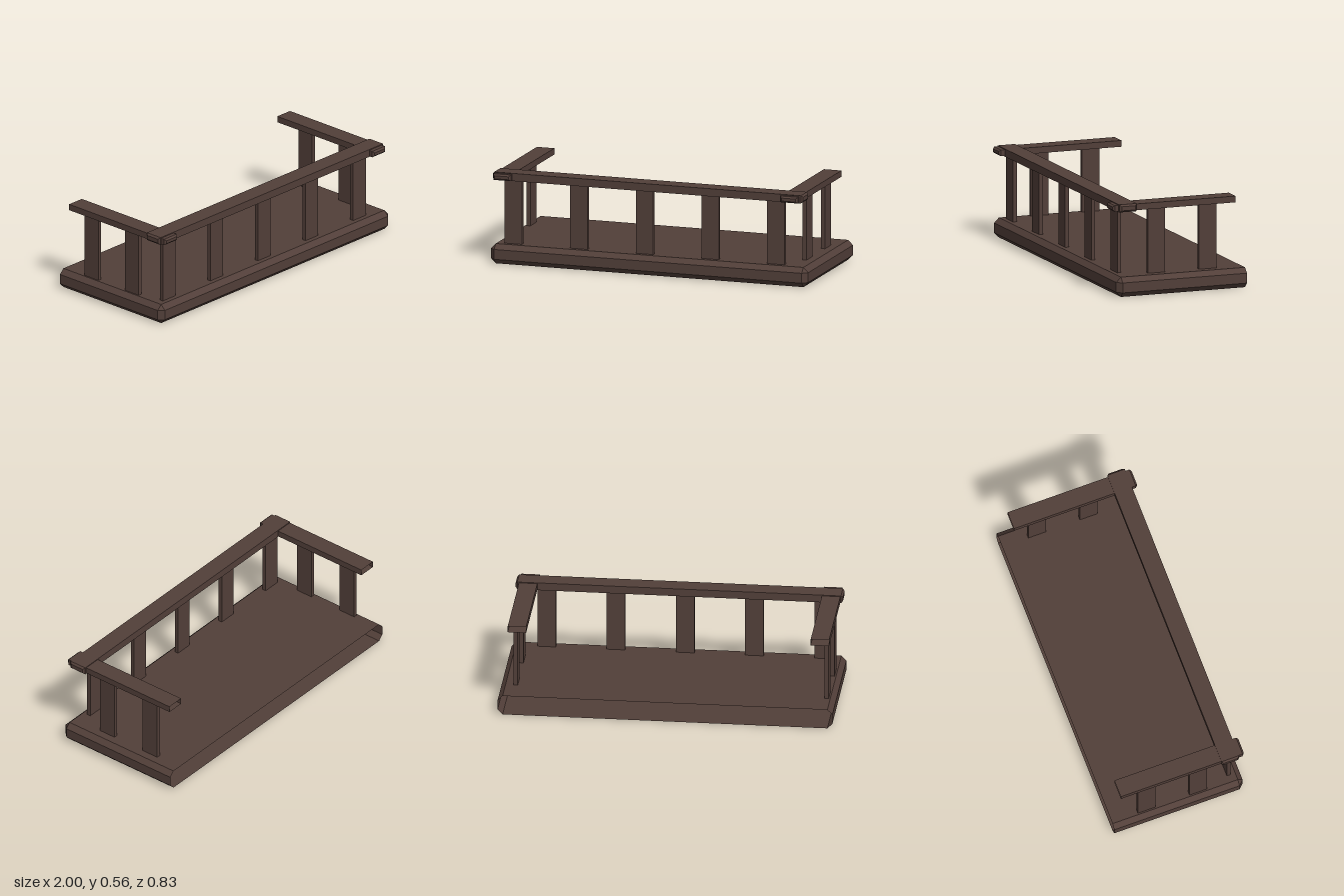
import * as THREE from 'three';

// Skins a list of rings (arrays of [x, y, z] points) with flat quads; optional fan caps.
function loft(rings, closed, capStart, capEnd) {
  const pos = [];
  const tri = (a, b, c) => pos.push(...a, ...b, ...c);
  for (let r = 0; r < rings.length - 1; r++) {
    const a = rings[r], b = rings[r + 1], n = a.length;
    for (let i = 0; i < (closed ? n : n - 1); i++) {
      const j = (i + 1) % n;
      tri(a[i], a[j], b[j]);
      tri(a[i], b[j], b[i]);
    }
  }
  const fan = (ring, flip) => {
    for (let i = 1; i < ring.length - 1; i++) {
      if (flip) tri(ring[0], ring[i + 1], ring[i]);
      else tri(ring[0], ring[i], ring[i + 1]);
    }
  };
  if (capStart) fan(rings[0], true);
  if (capEnd) fan(rings[rings.length - 1], false);
  const geo = new THREE.BufferGeometry();
  geo.setAttribute('position', new THREE.Float32BufferAttribute(pos, 3));
  geo.computeVertexNormals();
  return geo;
}

export function createModel() {
  const model = new THREE.Group();
  model.name = 'balcony';
  const wood = new THREE.MeshStandardMaterial({ color: 0x523f39, side: THREE.DoubleSide });
  wood.name = 'dark brown wood';

  const add = (name, geo) => {
    const mesh = new THREE.Mesh(geo, wood);
    mesh.name = name;
    model.add(mesh);
    return mesh;
  };

  // Floor slab: chamfered on three sides and at the corners, open at the back
  const back = -0.415;
  const outline = (y, x, xFront, zSide, zFront) => [
    [-x, y, back], [-x, y, zSide], [-xFront, y, zFront],
    [xFront, y, zFront], [x, y, zSide], [x, y, back],
  ];
  add('floorSlab', loft([
    outline(0, 0.97, 0.97, 0.38, 0.38),
    outline(0.03, 1, 0.97, 0.38, 0.41),
    outline(0.09, 1, 0.97, 0.38, 0.41),
    outline(0.12, 0.97, 0.97, 0.38, 0.38),
  ], false, true, true));

  // Front handrail with chamfered ends
  const railRing = (x, inset) => {
    const y0 = 0.509 + inset, y1 = 0.556 - inset, z0 = 0.273 + inset, z1 = 0.384 - inset;
    return [[x, y0, z0], [x, y1, z0], [x, y1, z1], [x, y0, z1]];
  };
  add('frontHandrail', loft([
    railRing(-0.99, 0.011), railRing(-0.979, 0), railRing(0.955, 0), railRing(0.966, 0.011),
  ], true, true, true));

  // Side handrails: chamfered front end, open back end
  const sideRing = (cx, z, inset) => {
    const w = 0.055 - inset, y0 = 0.513 + inset, y1 = 0.551 - inset;
    return [[cx - w, y0, z], [cx + w, y0, z], [cx + w, y1, z], [cx - w, y1, z]];
  };
  for (const [side, cx] of [['left', 0.89], ['right', -0.92]]) {
    add(side + 'Handrail', loft([
      sideRing(cx, -0.364, 0), sideRing(cx, 0.408, 0), sideRing(cx, 0.419, 0.01),
    ], true, false, true));
  }

  // Flat balusters under the rails
  const bottom = 0.118, top = 0.516;
  const post = (name, w, d, x, z) => {
    add(name, new THREE.BoxGeometry(w, top - bottom, d)).position.set(x, (top + bottom) / 2, z);
  };
  for (let i = 0; i < 5; i++) post('frontBaluster', 0.11, 0.024, -0.87 + i * 0.4138, 0.339);
  for (const z of [0.132, -0.195]) {
    post('leftBaluster', 0.024, 0.111, 0.909, z);
    post('rightBaluster', 0.024, 0.111, -0.949, z);
  }
  return model;
}
